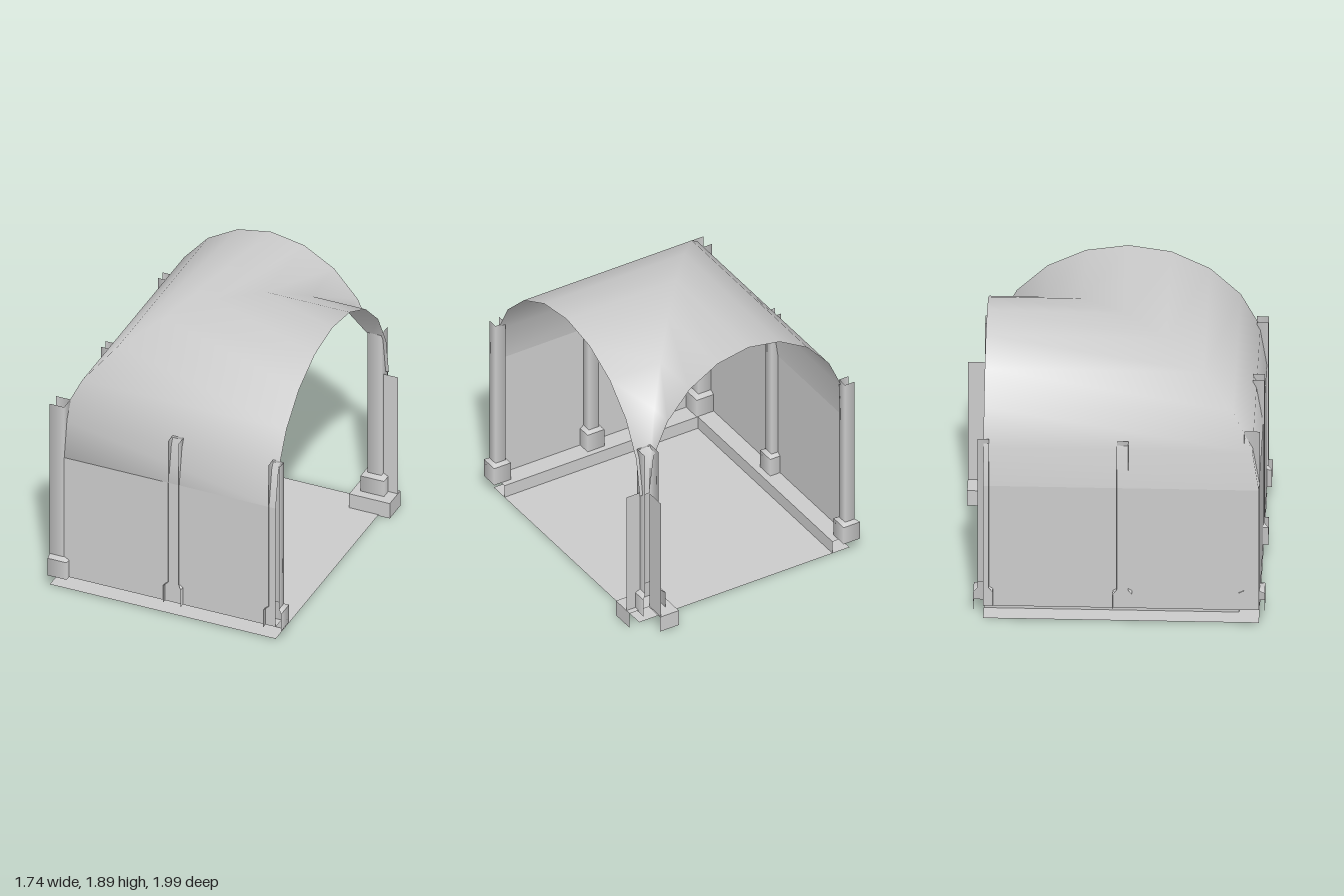
import * as THREE from 'three';

const X0 = -0.822, X1 = 0.785, Z0 = -0.848, Z1 = 0.953; // outer walls and open ends
const INNER_X = 0.712, INNER_Z = -0.855;                // inner springing corner of the vault
const SPRING = 1.017, RISE = 0.873;
const CURB_X = -0.7, CURB_Z = 0.82, CURB_Y = 0.1;       // inner edge and height of the curb
const FLOOR_Y = 0.008;

export function createModel() {
  const group = new THREE.Group();
  const mat = new THREE.MeshStandardMaterial({ color: 0xcccccc, side: THREE.DoubleSide });

  function add(name, geometry, x = 0, y = 0, z = 0, turn = 0) {
    const mesh = new THREE.Mesh(geometry, mat);
    mesh.name = name;
    mesh.position.set(x, y, z);
    mesh.rotation.y = turn;
    group.add(mesh);
  }

  // upright panel between two ground points
  function panel(name, [xa, za], [xb, zb], ya, yb) {
    const width = Math.hypot(xb - xa, zb - za);
    add(name, new THREE.PlaneGeometry(width, yb - ya),
      (xa + xb) / 2, (ya + yb) / 2, (za + zb) / 2, Math.atan2(za - zb, xb - xa));
  }

  // level surface from an outline of ground points
  function level(name, outline, y) {
    const shape = new THREE.Shape(outline.map(([x, z]) => new THREE.Vector2(x, -z)));
    add(name, new THREE.ShapeGeometry(shape).rotateX(-Math.PI / 2), 0, y, 0);
  }

  // square column with a bevelled base, open at the back (+z before turning);
  // the base is trimmed to the given distance behind the centre
  function column(name, x, z, half, baseHalf, top, turn = 0, back = baseHalf) {
    const profile = [
      [baseHalf, CURB_Y], [baseHalf, 0.232], [baseHalf, 0.232],
      [half, 0.25], [half, 0.25], [half, top],
    ].map(([r, y]) => new THREE.Vector2(r * Math.SQRT2, y));
    const g = new THREE.LatheGeometry(profile, 3, Math.PI / 4, Math.PI * 1.5);
    const p = g.attributes.position;
    for (let i = 0; i < p.count; i++) p.setZ(i, Math.min(p.getZ(i), back));
    add(name, g, x, 0, z, turn);
  }

  // vault turning the corner: each profile step runs along one arm, mitres, then follows the other
  function vaultGeometry(steps = 10) {
    const pos = [], index = [];
    for (let i = 0; i <= steps; i++) {
      const a = Math.PI * i / steps, t = (1 - Math.cos(a)) / 2;
      const x = X0 + (INNER_X - X0) * t, z = Z1 + (INNER_Z - Z1) * t;
      const y = SPRING + RISE * Math.sin(a);
      pos.push(X1, y, z, x, y, z, x, y, Math.min(z, Z0));
    }
    for (let i = 0; i < steps; i++) {
      for (let j = 0; j < 2; j++) {
        const p = i * 3 + j, q = p + 3;
        index.push(p, q + 1, p + 1, p, q, q + 1);
      }
    }
    const g = new THREE.BufferGeometry();
    g.setAttribute('position', new THREE.Float32BufferAttribute(pos, 3));
    g.setIndex(index);
    g.computeVertexNormals();
    return g;
  }
  add('vault', vaultGeometry());

  // floor and the two closed walls
  level('floor', [[-0.83, Z1], [X1, Z1], [X1, Z0], [-0.83, Z0]], FLOOR_Y);
  panel('frontWall', [X0, Z1], [X1, Z1], CURB_Y, SPRING);
  panel('sideWall', [X0, Z0], [X0, Z1], CURB_Y, SPRING);

  // raised curb along the foot of both walls
  panel('frontCurbFace', [CURB_X, CURB_Z], [X1, CURB_Z], FLOOR_Y, CURB_Y);
  panel('sideCurbFace', [CURB_X, Z0], [CURB_X, CURB_Z], FLOOR_Y, CURB_Y);
  level('curbTop', [
    [X0, Z1], [X1, Z1], [X1, CURB_Z], [CURB_X, CURB_Z], [CURB_X, Z0], [X0, Z0],
  ], CURB_Y);

  // open-backed pilasters at the middle and the end of each wall
  for (const x of [0.057, 0.775]) {
    column('frontPilaster', x, 0.924, 0.038, 0.064, 1.345);
  }
  for (const z of [0.062, Z0]) {
    column('sidePilaster', -0.81, z, 0.037, 0.063, 1.345, -Math.PI / 2);
  }

  // outer corner column and the inner corner pillar
  column('outerCornerColumn', -0.778, 0.906, 0.051, 0.085, 1.41, -Math.PI / 2, 0.051);
  column('innerCornerPillar', 0.712, -0.836, 0.05, 0.084, 1.345, Math.PI);

  // L-shaped plinth below the inner pillar, open underneath and behind
  const rim = [[0.72, -1], [0.575, -1], [0.575, -0.69], [0.865, -0.69], [0.865, -0.86]];
  for (let i = 0; i < rim.length - 1; i++) panel('plinthSide', rim[i], rim[i + 1], 0, 0.115);
  level('plinthTop', [...rim, [0.72, -0.86]], 0.115);

  // short return panels beside the inner pillar
  panel('backReturnPanel', [INNER_X, INNER_Z], [INNER_X, -1], 0.115, SPRING);
  panel('sideReturnPanel', [0.755, -0.82], [0.865, -0.82], 0.115, SPRING);

  return group;
}
